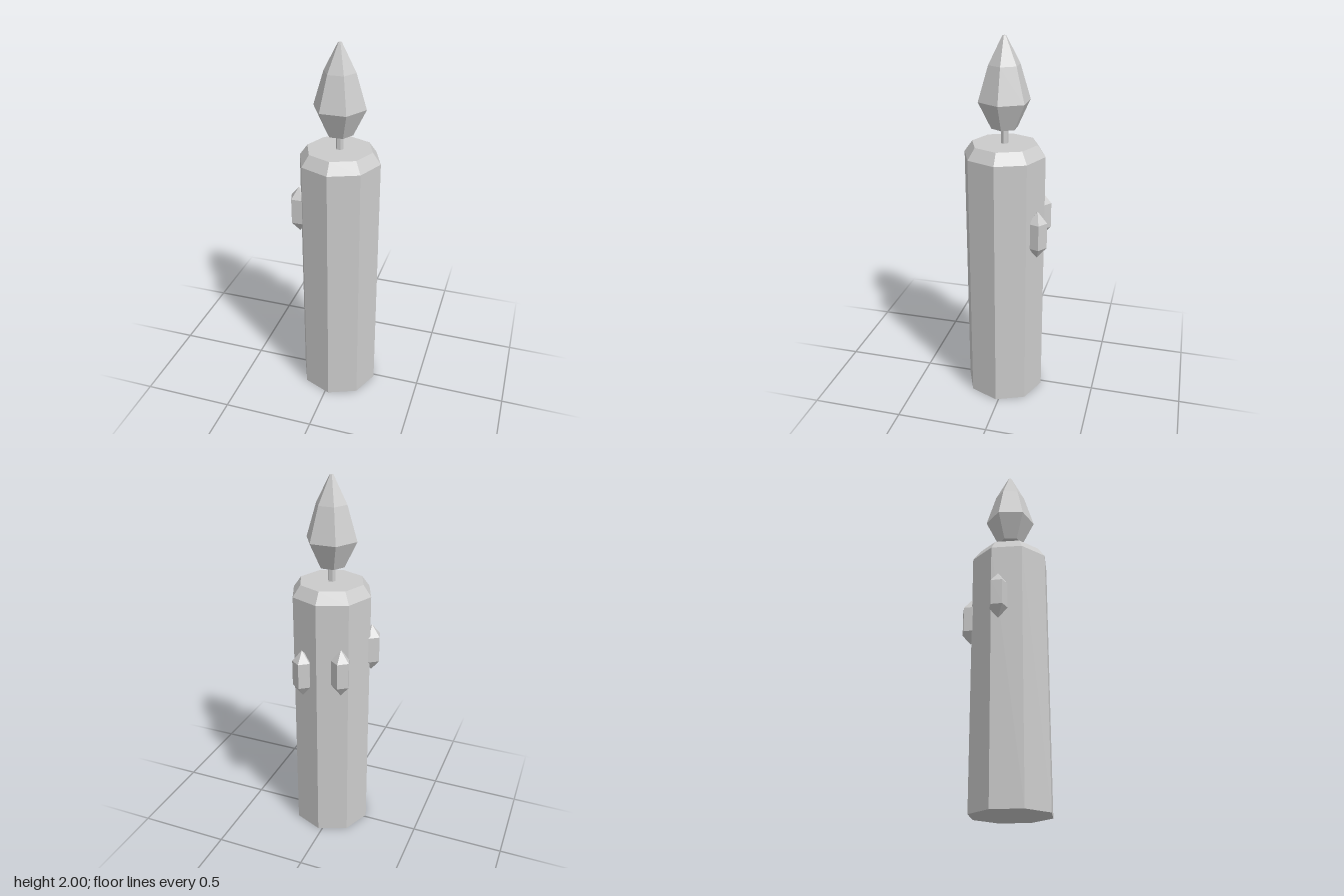
import * as THREE from 'three';

const material = new THREE.MeshStandardMaterial({ color: 0xcccccc, flatShading: true });

// Faceted solid turned from [radius, y] pairs listed bottom to top.
function turned(name, profile, sides, phiStart = 0) {
  const points = profile.map(([r, y]) => new THREE.Vector2(r, y));
  const mesh = new THREE.Mesh(new THREE.LatheGeometry(points, sides, phiStart), material);
  mesh.name = name;
  return mesh;
}

export function createModel() {
  const model = new THREE.Group();
  model.name = 'candle';

  // Candle column, wick and flame share one axis
  const column = new THREE.Group();
  column.name = 'column';
  column.position.set(0.022, 0, 0.015);
  column.add(
    turned('waxBody', [[0, 0], [0.217, 0], [0.217, 1.4], [0.174, 1.46], [0, 1.46]], 8),
    turned('wick', [[0, 1.44], [0.02, 1.44], [0.02, 1.56], [0, 1.56]], 6, Math.PI / 6),
    turned('flame', [[0, 1.54], [0.07, 1.54], [0.138, 1.68], [0.083, 1.86], [0.01, 2], [0, 2]], 6, Math.PI / 6)
  );
  model.add(column);

  // Wax drips: five-sided prisms with pointed ends, half sunk into the body
  const dripProfile = [[0, -0.132], [0.052, -0.07], [0.052, 0.07], [0, 0.132]];
  const dripPositions = [
    [-0.19, 1.1, 0.055],
    [-0.1, 1.03, -0.163],
    [0.11, 1.0, -0.183],
  ];
  dripPositions.forEach((position, i) => {
    const drip = turned(`waxDrip${i + 1}`, dripProfile, 5, Math.PI);
    drip.position.set(...position);
    model.add(drip);
  });

  return model;
}
